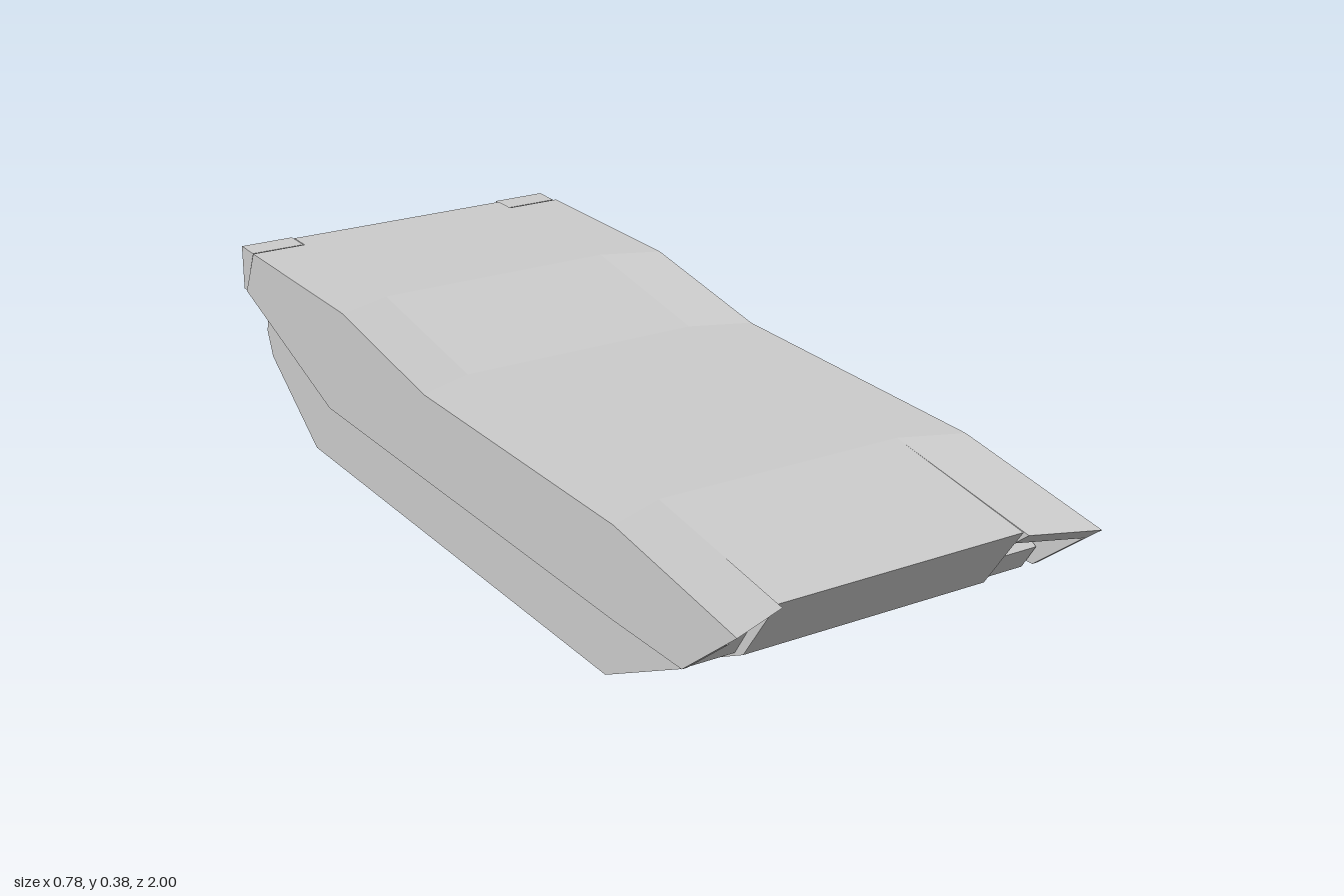
import * as THREE from 'three';

const material = new THREE.MeshStandardMaterial({ color: 0xcccccc, flatShading: true });

// Extrudes a side profile of [z, y] points from x0 to x1
function slab(profile, x0, x1) {
  const shape = new THREE.Shape(profile.map(([z, y]) => new THREE.Vector2(z, y)));
  const geometry = new THREE.ExtrudeGeometry(shape, { depth: x1 - x0, bevelEnabled: false });
  return geometry.rotateY(-Math.PI / 2).translate(x1, 0, 0);
}

// Same, on the left (side = 1) or right (side = -1), given distances from the middle
function sideSlab(profile, inner, outer, side) {
  return side > 0 ? slab(profile, inner, outer) : slab(profile, -outer, -inner);
}

// Sweeps the inner edge of a fender back, except at its rear end
function sweepInnerEdge(geometry, inner, amount) {
  const p = geometry.attributes.position;
  for (let i = 0; i < p.count; i++) {
    if (Math.abs(p.getX(i)) < inner + 0.01 && p.getZ(i) > -0.6) p.setZ(i, p.getZ(i) - amount);
  }
  geometry.computeVertexNormals();
  return geometry;
}

const HULL = [
  [0.935, 0.27], [0.84, 0.132], [0.72, 0.07], [-0.78, 0.07], [-0.925, 0.272], [-1, 0.272],
  [-1, 0.355], [-0.965, 0.377], [-0.5, 0.377], [-0.14, 0.32], [0.57, 0.32],
];
const FENDER = [
  [1, 0.27], [0.963, 0.24], [-0.855, 0.24], [-0.96, 0.275], [-0.91, 0.377],
  [-0.45, 0.377], [-0.09, 0.32], [0.62, 0.32],
];
const SKIRT = [
  [0.963, 0.24], [0.84, 0.14], [0.62, 0.135], [-0.54, 0.135], [-0.855, 0.24],
];
const TRACK = [
  [0.57, 0], [0.815, 0.125], [0.85, 0.18], [0.76, 0.23], [0.7, 0.238], [-0.878, 0.238],
  [-0.888, 0.2], [-0.865, 0.145], [-0.65, 0],
];
const CORNER = [
  [-0.918, 0.375], [-0.98, 0.375], [-0.98, 0.275], [-0.965, 0.275],
];

export function createModel() {
  const model = new THREE.Group();
  model.name = 'trackedHull';
  const add = (name, geometry, parent = model) => {
    const mesh = new THREE.Mesh(geometry, material);
    mesh.name = name;
    parent.add(mesh);
  };

  // Central body with sloped nose, stepped deck and overhanging tail
  add('hull', slab(HULL, -0.265, 0.265));

  for (const [side, label] of [[1, 'left'], [-1, 'right']]) {
    const group = new THREE.Group();
    group.name = label + 'Side';
    model.add(group);
    // Fender over the track, with a thin skirt hanging from its outer edge
    add(label + 'Fender', sweepInnerEdge(sideSlab(FENDER, 0.265, 0.39, side), 0.265, 0.05), group);
    add(label + 'Skirt', sideSlab(SKIRT, 0.379, 0.39, side), group);
    // Track run
    add(label + 'Track', sideSlab(TRACK, 0.265, 0.376, side), group);
    // Rear corner block behind the fender
    add(label + 'RearBlock', sideSlab(CORNER, 0.265, 0.387, side), group);
  }
  return model;
}
